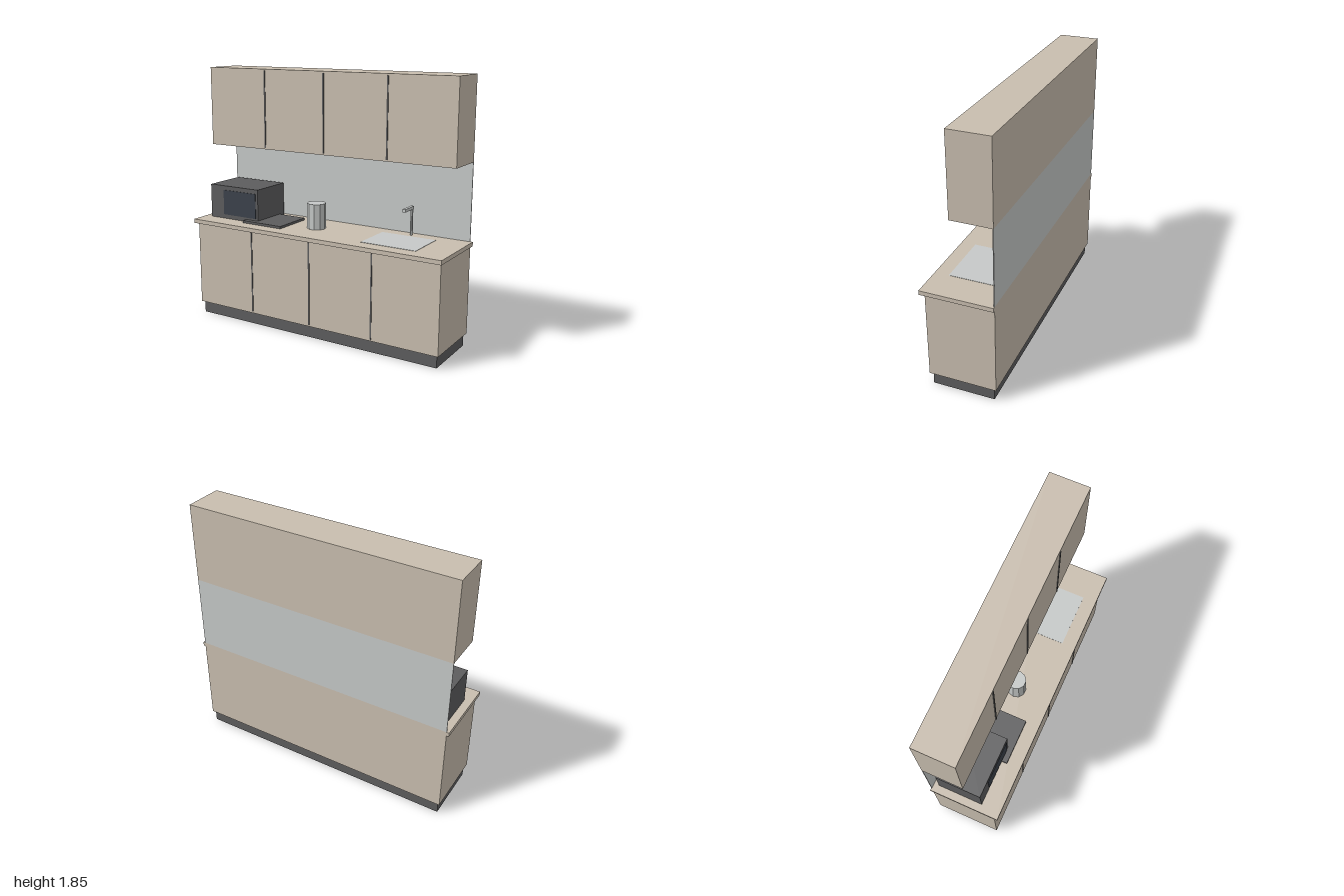
import * as THREE from 'three';

function flat(name, color) {
  const m = new THREE.MeshStandardMaterial({ color });
  m.name = name;
  return m;
}

export function createModel() {
  const beige = flat('beige laminate', 0xc9beaf);
  const dark = flat('dark grey', 0x5d5d5e);
  const steel = flat('light steel', 0xc6c9c8);
  const glass = flat('dark glass', 0x3c424b);

  const kitchen = new THREE.Group();
  kitchen.name = 'kitchenette';

  function add(name, geometry, material, parent = kitchen) {
    const mesh = new THREE.Mesh(geometry, material);
    mesh.name = name;
    parent.add(mesh);
    return mesh;
  }

  // Box given by its extents along each axis
  function box(name, material, [x0, x1], [y0, y1], [z0, z1], parent) {
    const g = new THREE.BoxGeometry(x1 - x0, y1 - y0, z1 - z0);
    g.translate((x0 + x1) / 2, (y0 + y1) / 2, (z0 + z1) / 2);
    return add(name, g, material, parent);
  }

  // Faceted upright cylinder
  function column(name, material, radius, sides, x, [y0, y1], z, parent) {
    const g = new THREE.CylinderGeometry(radius, radius, y1 - y0, sides, 1, false, Math.PI / 2).toNonIndexed();
    g.computeVertexNormals();
    g.translate(x, (y0 + y1) / 2, z);
    return add(name, g, material, parent);
  }

  const back = -0.253;

  // Cabinets, worktop and splashback
  box('plinth', dark, [-0.967, 0.967], [0, 0.088], [-0.236, 0.2]);
  box('baseCabinet', beige, [-0.983, 0.983], [0.088, 0.71], [back, 0.22]);
  box('worktop', beige, [-1, 1], [0.71, 0.74], [back, 0.253]);
  box('splashback', steel, [-0.983, 0.983], [0.74, 1.277], [back, back + 0.006]);
  box('wallCabinet', beige, [-0.983, 0.983], [1.277, 1.848], [back, 0.031]);

  // Dark gaps between the doors
  for (const x of [-0.492, 0, 0.492]) {
    box('baseDoorGap', dark, [x - 0.005, x + 0.005], [0.1, 0.697], [0.219, 0.224]);
    box('wallDoorGap', dark, [x - 0.005, x + 0.005], [1.288, 1.836], [0.03, 0.036]);
  }

  // Microwave with its window
  const microwave = new THREE.Group();
  microwave.name = 'microwave';
  kitchen.add(microwave);
  box('microwaveBody', dark, [-0.945, -0.511], [0.74, 0.988], [-0.212, 0.113], microwave);
  box('microwaveWindow', glass, [-0.824, -0.53], [0.771, 0.956], [0.112, 0.117], microwave);

  // Hob
  box('hob', dark, [-0.617, -0.285], [0.74, 0.757], [-0.155, 0.153]);

  // Kettle
  column('kettle', steel, 0.067, 10, -0.083, [0.74, 0.923], -0.01);

  // Sink plate and tap
  box('sink', steel, [0.37, 0.776], [0.738, 0.742], [-0.155, 0.153]);
  const tap = new THREE.Group();
  tap.name = 'tap';
  kitchen.add(tap);
  column('tapPost', steel, 0.01, 8, 0.574, [0.74, 0.93], -0.195, tap);
  box('tapSpout', steel, [0.563, 0.585], [0.924, 0.945], [-0.205, -0.073], tap);

  return kitchen;
}
